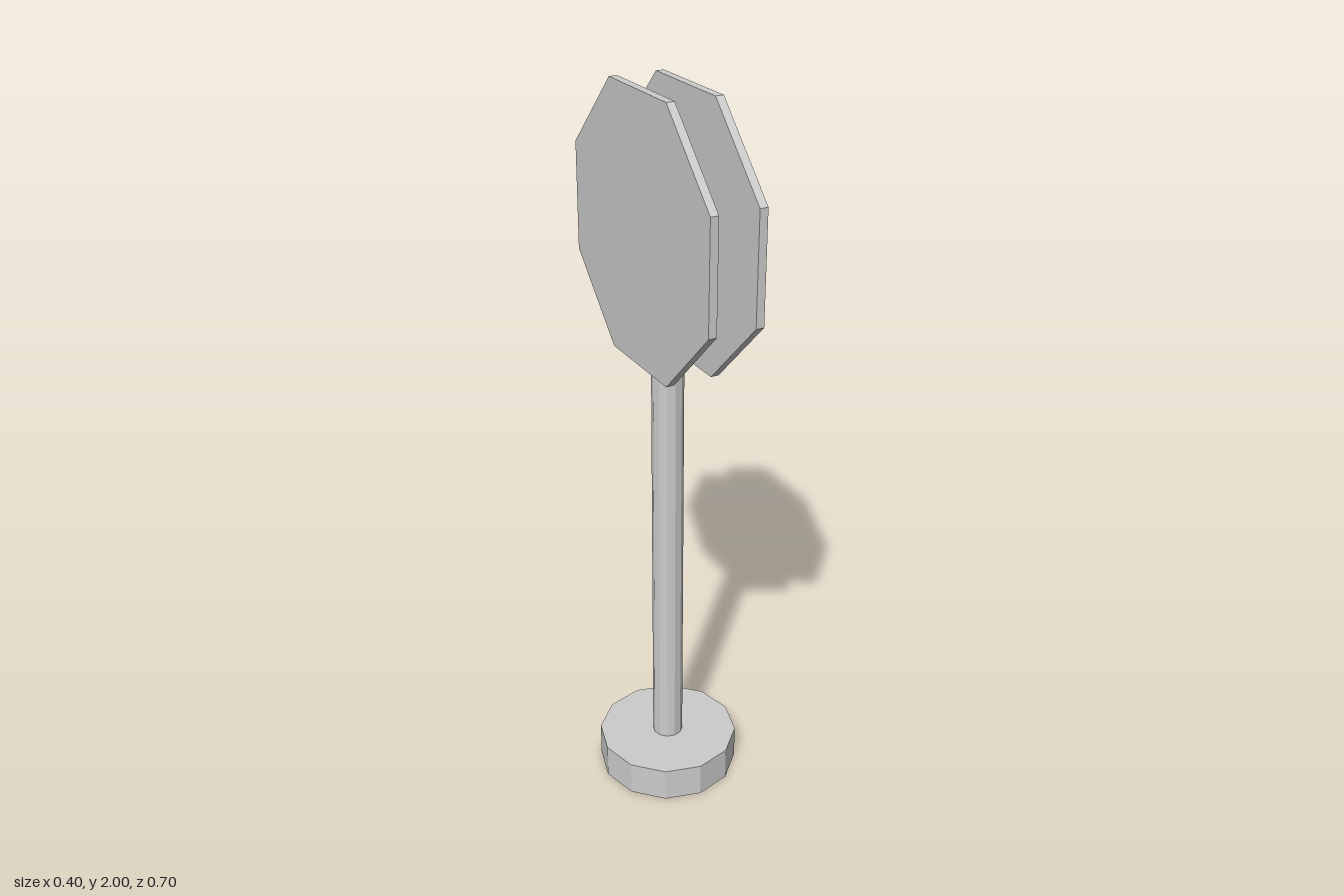
import * as THREE from 'three';

const material = new THREE.MeshStandardMaterial({ color: 0xcccccc, flatShading: true });

// Upright prism with its foot at the given height
function prism(name, radius, height, sides, bottom) {
  const geometry = new THREE.CylinderGeometry(radius, radius, height, sides);
  const mesh = new THREE.Mesh(geometry, material);
  mesh.name = name;
  mesh.position.y = bottom + height / 2;
  return mesh;
}

// Octagonal plate facing sideways, with a flat edge at top and bottom
function signPlate(name, x) {
  const apothem = 0.35;
  const radius = apothem / Math.cos(Math.PI / 8);
  const geometry = new THREE.CylinderGeometry(radius, radius, 0.022, 8, 1, false, Math.PI / 8);
  geometry.rotateZ(Math.PI / 2);
  const mesh = new THREE.Mesh(geometry, material);
  mesh.name = name;
  mesh.position.set(x, 1.65, 0);
  return mesh;
}

export function createModel() {
  const model = new THREE.Group();
  model.name = 'octagonalSignPost';
  model.add(
    prism('base', 0.2, 0.1, 12, 0),
    prism('pole', 0.043, 1.66, 12, 0.1),
    // The plates sit slightly off centre, one on each side of the pole
    signPlate('leftSignPlate', 0.056),
    signPlate('rightSignPlate', -0.071),
  );
  return model;
}
